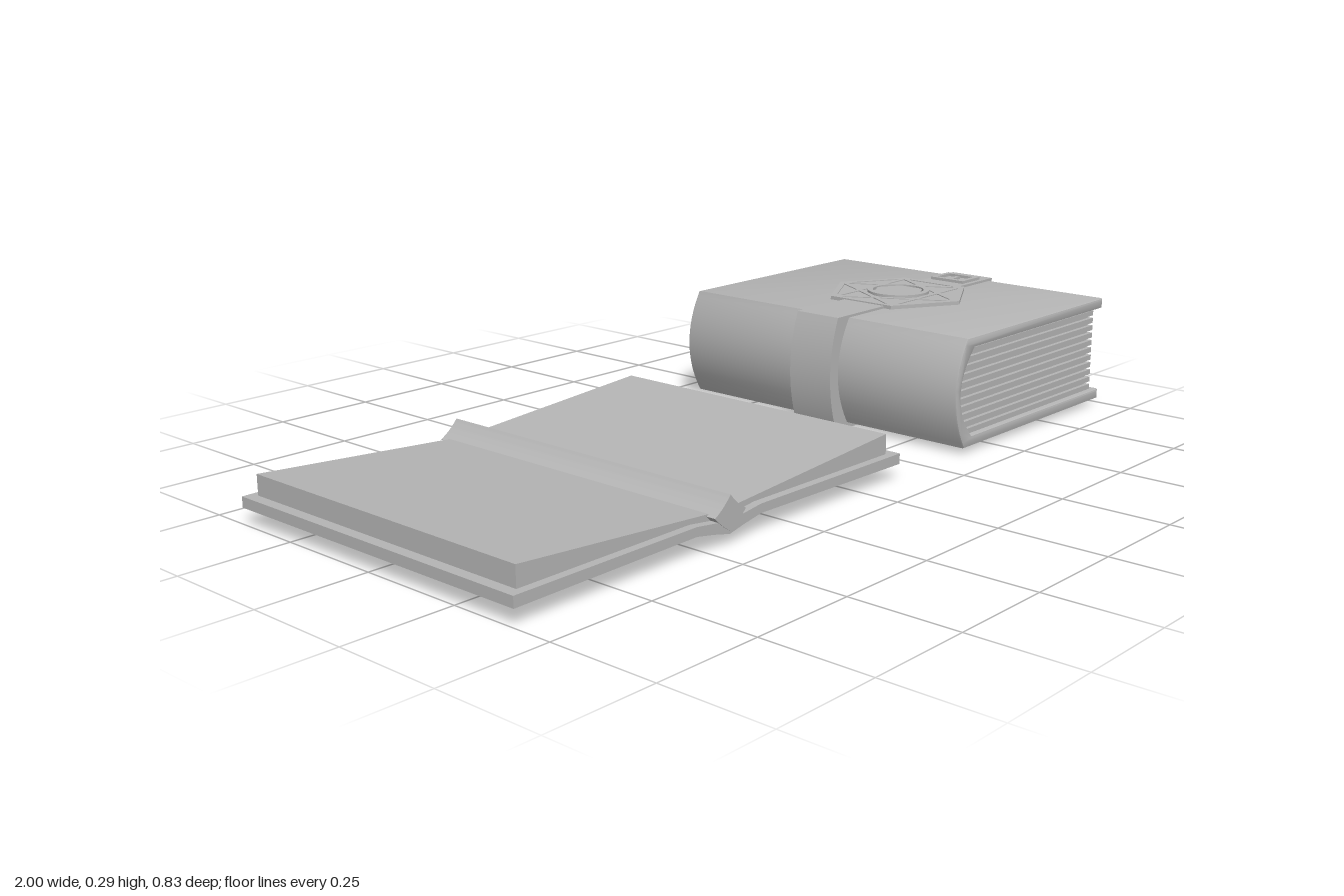
import * as THREE from 'three';
import { toCreasedNormals } from 'three/addons/utils/BufferGeometryUtils.js';

const material = new THREE.MeshStandardMaterial({ color: 0xb4b4b4 });
material.name = 'plain grey';

function addMesh(parent, name, geometry) {
  const mesh = new THREE.Mesh(geometry, material);
  mesh.name = name;
  parent.add(mesh);
  return mesh;
}

// Extrudes an x-y section along z from z0 to z1, with an optional small chamfer
function extrudeZ(shape, z0, z1, bevel = 0) {
  const g = new THREE.ExtrudeGeometry(shape, {
    depth: z1 - z0 - 2 * bevel, curveSegments: 20, bevelEnabled: bevel > 0,
    bevelThickness: bevel, bevelSize: bevel, bevelOffset: -bevel, bevelSegments: 2,
  });
  g.translate(0, 0, z0 + bevel);
  return toCreasedNormals(g, 0.5);
}

// Lays an x-z outline flat as a plate from y0 to y1
function plate(shape, y0, y1) {
  const g = new THREE.ExtrudeGeometry(shape, { depth: y1 - y0, curveSegments: 32, bevelEnabled: false });
  g.rotateX(-Math.PI / 2);
  g.translate(0, y0, 0);
  return g;
}

const points = (list) => list.map(([x, y]) => new THREE.Vector2(x, y));
const polygon = (list) => new THREE.Shape(points(list));

// Rectangle whose left side bulges outwards
function bulged(path, right, left, control, bottom, top) {
  path.moveTo(right, bottom);
  path.lineTo(right, top);
  path.lineTo(left, top);
  path.quadraticCurveTo(control, (top + bottom) / 2, left, bottom);
  path.closePath();
  return path;
}

function hexPoints(rx, rz) {
  return Array.from({ length: 6 }, (_, i) => {
    const a = Math.PI / 2 + i * Math.PI / 3;
    return [rx * Math.cos(a), rz * Math.sin(a)];
  });
}

function openBook() {
  const book = new THREE.Group();
  book.name = 'openBook';
  const mid = -0.435;

  // Cover boards joined by a shallow sagging spine
  addMesh(book, 'openCover', extrudeZ(polygon([
    [-1, 0.036], [-0.53, 0.042], [-0.48, 0.033], [mid, 0.023], [-0.39, 0.033], [-0.34, 0.042],
    [0.13, 0.036], [0.13, 0.06], [-0.34, 0.062], [mid, 0.05], [-0.53, 0.062], [-1, 0.06],
  ]), -0.41, 0.41));

  // Page blocks rising towards the outer edges
  for (const side of [-1, 1]) {
    const outer = mid + side * 0.54, inner = mid + side * 0.03;
    addMesh(book, side < 0 ? 'rightPages' : 'leftPages', extrudeZ(polygon([
      [outer, 0.055], [outer, 0.106], [inner, 0.069], [inner, 0.055],
    ]), -0.39, 0.39));
  }

  // Raised fold along the middle
  const fold = new THREE.Shape();
  fold.moveTo(mid - 0.046, 0.066);
  fold.quadraticCurveTo(mid - 0.02, 0.08, mid, 0.105);
  fold.quadraticCurveTo(mid + 0.02, 0.08, mid + 0.046, 0.066);
  fold.quadraticCurveTo(mid + 0.02, 0.04, mid, 0.03);
  fold.quadraticCurveTo(mid - 0.02, 0.04, mid - 0.046, 0.066);
  addMesh(book, 'centreFold', extrudeZ(fold, -0.412, 0.412));
  return book;
}

function closedBook() {
  const book = new THREE.Group();
  book.name = 'closedBook';

  // Two boards and a rounded spine in one C-shaped section
  const cover = new THREE.Shape();
  cover.moveTo(0.985, 0.275);
  cover.lineTo(0.38, 0.275);
  cover.quadraticCurveTo(0.3, 0.145, 0.38, 0.015);
  cover.lineTo(0.985, 0.015);
  cover.lineTo(0.985, 0.04);
  cover.lineTo(0.41, 0.04);
  cover.quadraticCurveTo(0.31, 0.145, 0.41, 0.25);
  cover.lineTo(0.985, 0.25);
  cover.closePath();
  addMesh(book, 'closedCover', extrudeZ(cover, -0.413, 0.413, 0.005));

  // Page block: a core with projecting leaves
  addMesh(book, 'pageCore', extrudeZ(
    bulged(new THREE.Shape(), 0.948, 0.4, 0.31, 0.038, 0.252), -0.393, 0.393));
  const leaves = 11, pitch = 0.21 / leaves;
  for (let i = 0; i < leaves; i++) {
    const y = 0.04 + (i + 0.5) * pitch;
    const start = 0.355 + 0.045 * ((y - 0.145) / 0.105) ** 2;
    const leaf = addMesh(book, 'pageLeaves', new THREE.BoxGeometry(0.958 - start, pitch * 0.66, 0.806));
    leaf.position.set((0.958 + start) / 2, y, 0);
  }

  // Strap wrapped all the way round
  const strap = bulged(new THREE.Shape(), 1, 0.337, 0.283, 0, 0.281);
  strap.holes.push(bulged(new THREE.Path(), 0.987, 0.384, 0.306, 0.018, 0.272));
  addMesh(book, 'strap', extrudeZ(strap, -0.05, 0.073));

  // Buckle frame with its tongue
  const buckle = new THREE.Group();
  buckle.name = 'buckle';
  buckle.position.set(0.92, 0, 0.011);
  const frame = polygon([[-0.04, -0.05], [0.04, -0.05], [0.04, 0.05], [-0.04, 0.05]]);
  frame.holes.push(new THREE.Path(points([[-0.027, -0.037], [-0.027, 0.037], [0.027, 0.037], [0.027, -0.037]])));
  addMesh(buckle, 'buckleFrame', plate(frame, 0.279, 0.288));
  addMesh(buckle, 'buckleTongue', new THREE.BoxGeometry(0.05, 0.008, 0.013)).position.set(-0.012, 0.283, 0);
  book.add(buckle);

  // Hexagonal clasp ornament
  const clasp = new THREE.Group();
  clasp.name = 'clasp';
  clasp.position.x = 0.68;
  const outer = hexPoints(0.184, 0.186);
  addMesh(clasp, 'claspPlate', plate(polygon(outer), 0.273, 0.282));
  const rim = polygon(outer);
  rim.holes.push(new THREE.Path(points(hexPoints(0.168, 0.17).reverse())));
  addMesh(clasp, 'claspRim', plate(rim, 0.28, 0.284));

  // Crossing bars between alternate corners
  const corners = hexPoints(0.17, 0.172);
  corners.forEach(([x, z], i) => {
    const [x2, z2] = corners[(i + 2) % 6];
    const bar = addMesh(clasp, 'claspBar', new THREE.BoxGeometry(Math.hypot(x2 - x, z2 - z), 0.004, 0.012));
    bar.position.set((x + x2) / 2, 0.282, (z + z2) / 2);
    bar.rotation.y = -Math.atan2(z2 - z, x2 - x);
  });

  // Centre ring around a low boss
  const ring = new THREE.Shape().absarc(0, 0, 0.078, 0, Math.PI * 2);
  ring.holes.push(new THREE.Path().absarc(0, 0, 0.064, 0, Math.PI * 2, true));
  addMesh(clasp, 'claspRing', plate(ring, 0.28, 0.289));
  addMesh(clasp, 'claspBoss', plate(polygon(hexPoints(0.066, 0.066)), 0.28, 0.286));
  book.add(clasp);
  return book;
}

export function createModel() {
  const model = new THREE.Group();
  model.name = 'books';
  model.add(openBook(), closedBook());
  return model;
}
